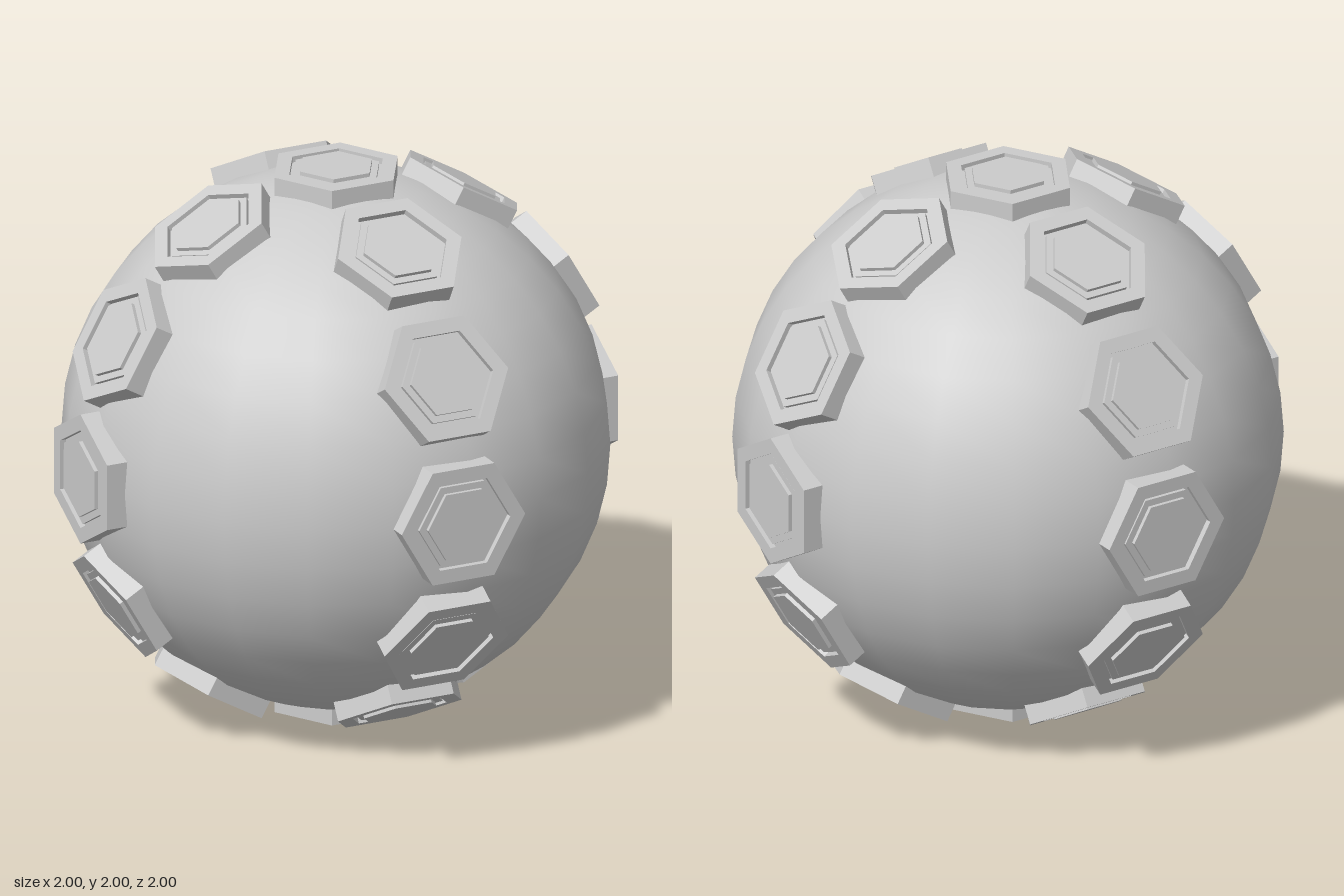
import * as THREE from 'three';

export function createModel() {
  const model = new THREE.Group();
  model.name = 'studdedBall';

  const smooth = new THREE.MeshStandardMaterial({ color: 0xcccccc });
  const faceted = new THREE.MeshStandardMaterial({ color: 0xcccccc, flatShading: true });

  // Smooth round body
  const ball = new THREE.Mesh(new THREE.SphereGeometry(0.96, 20, 20), smooth);
  ball.name = 'ball';
  ball.position.y = 1;
  ball.rotation.y = THREE.MathUtils.degToRad(3.5);
  model.add(ball);

  // Hexagonal stud: rim, groove, step and raised centre panel (radius, distance from centre)
  const profile = [
    [0.24, 0.88], [0.24, 0.994],
    [0.182, 0.994], [0.182, 0.972],
    [0.168, 0.972], [0.168, 0.986],
    [0.14, 0.986], [0.14, 1.0],
    [0, 1.0],
  ].map(([r, y]) => new THREE.Vector2(r, y));
  const studGeometry = new THREE.LatheGeometry(profile, 6);
  studGeometry.rotateY(Math.PI / 2); // corners point along x

  function addStud(axis, angle) {
    const stud = new THREE.Mesh(studGeometry, faceted);
    stud.name = 'stud';
    stud.position.y = 1;
    stud.rotation[axis] = angle;
    model.add(stud);
  }

  // Two upright rings of studs, crossing at the top and bottom
  for (let i = 0; i < 12; i++) {
    const angle = (i * Math.PI) / 6;
    addStud('x', angle);
    if (i % 6 !== 0) addStud('z', angle);
  }

  return model;
}
